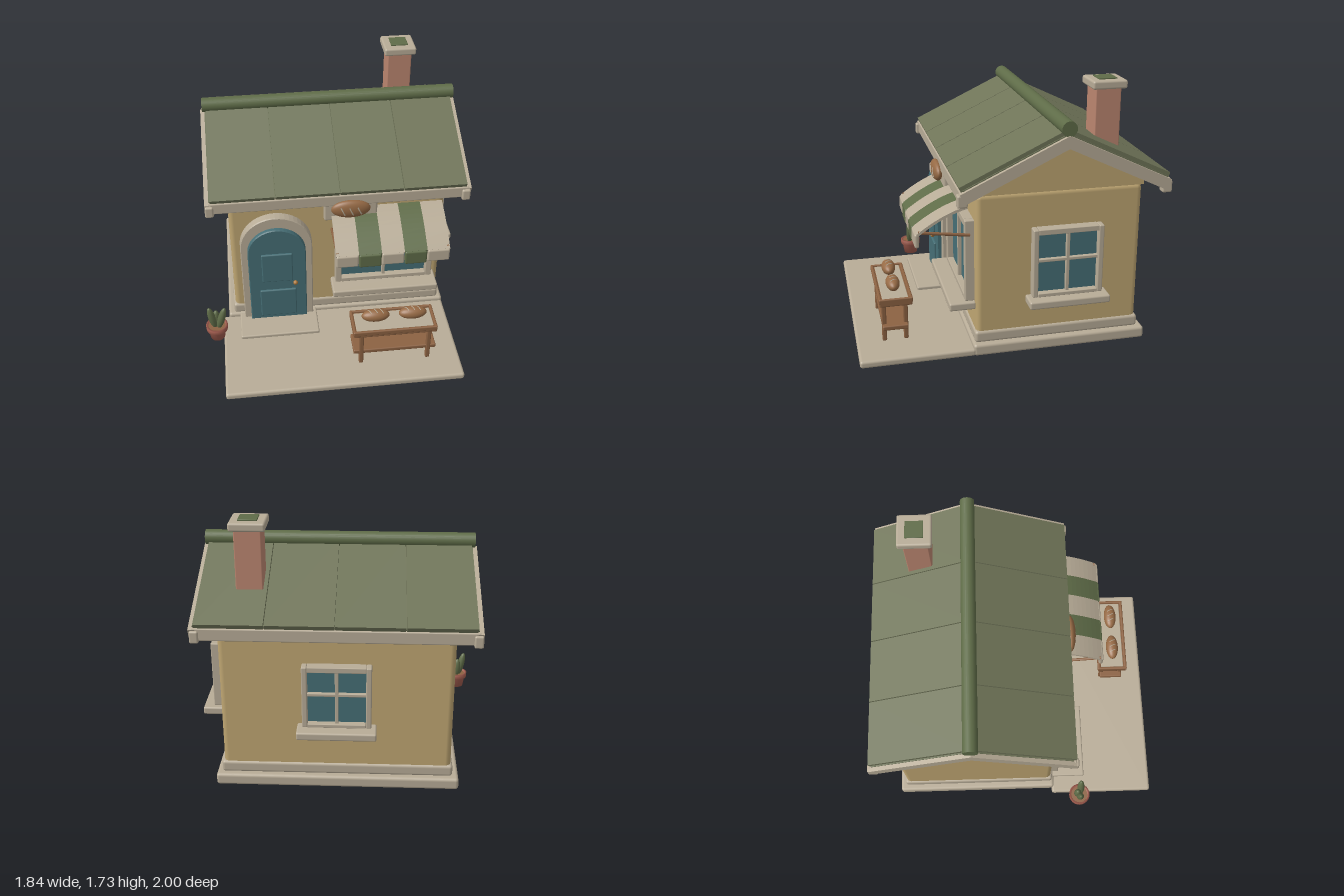
import * as THREE from 'three';
import { RoundedBoxGeometry } from 'three/addons/geometries/RoundedBoxGeometry.js';

const CX = 0.025, CZ = -0.29, SLOPE = 0.478;

export function createModel() {
  const root = new THREE.Group();
  root.name = 'bakeryShop';
  const mat = {};
  const colours = {
    plaster: 0xbfa672, stone: 0xb8ac97, roofGreen: 0x6f7458, leafGreen: 0x5f6c48, teal: 0x466f76,
    brick: 0xbc8670, terracotta: 0xa45e50, wood: 0x8c6242, crust: 0x966a45, brass: 0xb07a3c,
  };
  for (const [name, color] of Object.entries(colours)) {
    mat[name] = new THREE.MeshStandardMaterial({ color });
    mat[name].name = name;
  }

  const add = (name, geo, m, parent = root) => {
    const mesh = new THREE.Mesh(geo, mat[m]);
    mesh.name = name;
    parent.add(mesh);
    return mesh;
  };
  const group = (name, x = 0, y = 0, z = 0) => {
    const g = new THREE.Group();
    g.name = name;
    g.position.set(x, y, z);
    root.add(g);
    return g;
  };
  // Soft-edged box given by its limits on each axis
  const box = (name, m, [x0, x1], [y0, y1], [z0, z1], r = 0.008, parent = root) => {
    const s = [x1 - x0, y1 - y0, z1 - z0];
    const geo = new RoundedBoxGeometry(...s, 2, Math.min(r, Math.min(...s) * 0.45));
    const mesh = add(name, geo, m, parent);
    mesh.position.set((x0 + x1) / 2, (y0 + y1) / 2, (z0 + z1) / 2);
    return mesh;
  };
  // Extrudes a (z, y) outline along x from x0 to x1
  const extrudeX = (name, m, points, x0, x1) => {
    const shape = new THREE.Shape(points.map(([z, y]) => new THREE.Vector2(z, y)));
    const geo = new THREE.ExtrudeGeometry(shape, { depth: x1 - x0, bevelEnabled: false });
    geo.rotateY(-Math.PI / 2).translate(x1, 0, 0);
    return add(name, geo, m);
  };
  // Inverted V across the gable
  const chevron = (name, m, reach, top, thick, x0, x1) => {
    const e = top - reach * SLOPE, cut = thick * 0.35;
    extrudeX(name, m, [
      [CZ - reach, e], [CZ - reach + cut, e - thick + cut * SLOPE], [CZ, top - thick],
      [CZ + reach - cut, e - thick + cut * SLOPE], [CZ + reach, e], [CZ, top],
    ], x0, x1);
  };

  // Ground slabs and walls
  box('foundation', 'stone', [-0.76, 0.8], [0, 0.08], [-0.875, 0.275], 0.02);
  box('patio', 'stone', [-0.8, 0.8], [0.003, 0.052], [0.26, 1], 0.018);
  box('doorstep', 'stone', [-0.68, -0.13], [0.04, 0.075], [0.24, 0.505], 0.01);
  box('plinth', 'stone', [-0.72, 0.765], [0.075, 0.155], [-0.837, 0.26], 0.02);
  box('walls', 'plaster', [-0.707, 0.752], [0.12, 1.078], [-0.826, 0.25], 0.035);
  extrudeX('gable', 'plaster', [[-0.832, 1.07], [0.252, 1.07], [0.252, 1.12], [CZ, 1.385], [-0.832, 1.12]], -0.705, 0.755);

  // Roof
  chevron('roofDeck', 'roofGreen', 0.645, 1.462, 0.06, -0.82, 0.87);
  for (let i = 0; i < 4; i++) {
    const x = -0.815 + i * 0.42;
    chevron('roofPanel', 'roofGreen', 0.665, 1.49, 0.035, x + 0.003, x + 0.417);
  }
  for (const x of [-0.848, 0.852]) chevron('rakeBoard', 'stone', 0.665, 1.455, 0.08, x, x + 0.042);
  for (const s of [-1, 1]) {
    const z = CZ + s * 0.645;
    box('eaveBoard', 'stone', [-0.83, 0.88], [1.065, 1.145], [z - 0.018, z + 0.018]);
    for (const x of [-0.82, 0.86]) box('eaveCap', 'stone', [x - 0.028, x + 0.028], [1.05, 1.13], [z - 0.03, z + 0.035], 0.012);
  }
  const ridge = add('ridge', new THREE.CylinderGeometry(0.048, 0.048, 1.72, 24), 'leafGreen');
  ridge.rotation.z = Math.PI / 2;
  ridge.position.set(CX, 1.494, CZ);

  // Chimney
  box('chimney', 'brick', [0.472, 0.64], [1.25, 1.68], [-0.696, -0.53]);
  box('chimneyCap', 'stone', [0.445, 0.667], [1.668, 1.722], [-0.727, -0.503], 0.014);
  box('flue', 'leafGreen', [0.497, 0.615], [1.7, 1.73], [-0.674, -0.556], 0.003);

  // Arched door
  const arch = (w, y0, spring, Type = THREE.Shape) => {
    const s = new Type();
    s.moveTo(-w, y0);
    s.lineTo(w, y0);
    s.lineTo(w, spring);
    s.absarc(0, spring, w, 0, Math.PI, false);
    s.lineTo(-w, y0);
    return s;
  };
  const archMesh = (name, m, shape, z, depth) => {
    const b = 0.006;
    const geo = new THREE.ExtrudeGeometry(shape, { depth: depth - b, bevelThickness: b, bevelSize: b, bevelOffset: -b, bevelSegments: 1, curveSegments: 12 });
    add(name, geo, m).position.set(-0.4, 0, z);
  };
  const surround = arch(0.245, 0.06, 0.705);
  surround.holes.push(arch(0.195, 0.061, 0.672, THREE.Path));
  archMesh('doorSurround', 'stone', surround, 0.235, 0.075);
  archMesh('door', 'teal', arch(0.198, 0.078, 0.672), 0.24, 0.1);
  box('upperDoorPanel', 'teal', [-0.507, -0.295], [0.43, 0.67], [0.33, 0.354]);
  box('lowerDoorPanel', 'teal', [-0.527, -0.275], [0.115, 0.35], [0.33, 0.354]);
  add('doorKnob', new THREE.SphereGeometry(0.016, 16, 12), 'brass').position.set(-0.28, 0.417, 0.362);

  // Windows: local z points outwards, the origin is the middle of the frame's foot
  const makeWindow = (name, w, h, depth, border, rows, sillW, sillOut) => {
    const g = group(name);
    const a = w / 2, d = [0, depth];
    for (const s of [-1, 1]) {
      const x = s * (a - border / 2);
      box('frameSide', 'stone', [x - border / 2, x + border / 2], [0, h], d, 0.008, g);
    }
    box('frameFoot', 'stone', [-a + border, a - border], [0, border * 0.7], d, 0.004, g);
    box('frameHead', 'stone', [-a + border, a - border], [h - border, h], d, 0.004, g);
    box('glass', 'teal', [-a + 0.02, a - 0.02], [0.01, h - 0.02], [0.005, depth * 0.4], 0.002, g);
    box('mullion', 'stone', [-0.011, 0.011], [0.01, h - 0.01], [0.01, depth * 0.75], 0.004, g);
    if (rows > 1) box('crossBar', 'stone', [-a + 0.02, a - 0.02], [h * 0.53 - 0.01, h * 0.53 + 0.01], [0.01, depth * 0.75], 0.004, g);
    box('sill', 'stone', [-sillW / 2, sillW / 2], [-0.05, 0.002], [0.004, sillOut], 0.012, g);
    return g;
  };
  makeWindow('shopWindow', 0.685, 0.55, 0.07, 0.045, 1, 0.74, 0.175).position.set(0.347, 0.343, 0.24);
  const side = makeWindow('sideWindow', 0.457, 0.455, 0.07, 0.035, 2, 0.525, 0.137);
  side.position.set(0.782, 0.4, -0.32);
  side.rotation.y = Math.PI / 2;
  const back = makeWindow('backWindow', 0.43, 0.415, 0.065, 0.035, 2, 0.495, 0.138);
  back.position.set(0.018, 0.473, -0.862);
  back.rotation.y = Math.PI;

  // Striped awning with a hanging valance
  const curve = new THREE.QuadraticBezierCurve(new THREE.Vector2(0.3, 1.0), new THREE.Vector2(0.45, 0.965), new THREE.Vector2(0.615, 0.84));
  const top = curve.getPoints(10).map((p) => [p.x, p.y]);
  const under = top.map(([z, y]) => [z - 0.006, y - 0.016]).reverse();
  for (let i = 0; i < 5; i++) {
    const x = -0.03 + i * 0.15, m = i % 2 ? 'leafGreen' : 'stone';
    extrudeX('awningStripe', m, [...top, ...under], x, x + 0.15);
    box('valance', m, [x + 0.001, x + 0.149], [i % 2 ? 0.738 : 0.748, 0.84], [0.598, 0.626], 0.013);
  }
  for (const x of [-0.018, 0.708]) {
    const path = new THREE.LineCurve3(new THREE.Vector3(x, 0.848, 0.605), new THREE.Vector3(x, 0.805, 0.28));
    add('awningStrut', new THREE.TubeGeometry(path, 1, 0.01, 10), 'wood');
  }

  // Loaf lying along x, with three scores across its top
  const loaf = (name, rx, ry, rz, x, y, z) => {
    const g = group(name, x, y, z);
    add('crust', new THREE.SphereGeometry(1, 28, 18), 'crust', g).scale.set(rx, ry, rz);
    for (const c of [-0.42, 0, 0.42]) {
      const pts = [-1, -0.5, 0, 0.5, 1].map((t) => {
        const u = c + t * 0.1, v = t * 0.45;
        return new THREE.Vector3(u * rx, Math.sqrt(1 - u * u - v * v) * ry, v * rz);
      });
      add('score', new THREE.TubeGeometry(new THREE.CatmullRomCurve3(pts), 8, rx * 0.035, 6), 'stone', g);
    }
    return g;
  };

  // Hanging sign
  box('signBoard', 'stone', [-0.08, 0.275], [0.94, 1.08], [0.313, 0.365], 0.015);
  loaf('signLoaf', 0.13, 0.038, 0.066, 0.095, 1.045, 0.383).rotation.x = Math.PI / 2;

  // Display table
  box('tableTop', 'wood', [0.06, 0.622], [0.322, 0.362], [0.637, 0.85], 0.01);
  box('tableCloth', 'stone', [0.083, 0.6], [0.355, 0.367], [0.66, 0.827], 0.004);
  for (const z of [0.644, 0.843]) box('tableRim', 'wood', [0.06, 0.622], [0.34, 0.375], [z - 0.01, z + 0.01]);
  for (const x of [0.07, 0.612]) box('tableRim', 'wood', [x - 0.01, x + 0.01], [0.34, 0.375], [0.637, 0.85]);
  for (const x of [0.118, 0.573]) {
    for (const z of [0.68, 0.82]) box('tableLeg', 'wood', [x - 0.015, x + 0.015], [0.068, 0.33], [z - 0.015, z + 0.015]);
  }
  box('tableShelf', 'wood', [0.065, 0.625], [0.157, 0.188], [0.668, 0.832]);
  for (const x of [0.22, 0.47]) loaf('tableLoaf', 0.094, 0.042, 0.045, x, 0.42, 0.745);

  // Potted cactus
  const plant = group('pottedPlant', -0.843, 0, 0.457);
  const pot = [[0, 0.06], [0.05, 0.06], [0.062, 0.132], [0.074, 0.134], [0.076, 0.168], [0.062, 0.17], [0.06, 0.152], [0, 0.152]];
  const potGeo = new THREE.LatheGeometry(pot.map(([r, y]) => new THREE.Vector2(r, y)), 24);
  add('pot', potGeo, 'terracotta', plant);
  add('soil', new THREE.CylinderGeometry(0.06, 0.06, 0.006, 24), 'wood', plant).position.y = 0.156;
  for (const [x, z, tilt, len] of [[-0.012, 0, 0.2, 0.095], [0.014, 0.008, -0.28, 0.095], [0, -0.016, 0, 0.07]]) {
    const geo = new THREE.SphereGeometry(1, 16, 14).scale(0.026, len, 0.026).translate(0, len * 0.85, 0);
    const leaf = add('cactusLeaf', geo, 'leafGreen', plant);
    leaf.position.set(x, 0.155, z);
    leaf.rotation.z = tilt;
  }
  return root;
}
